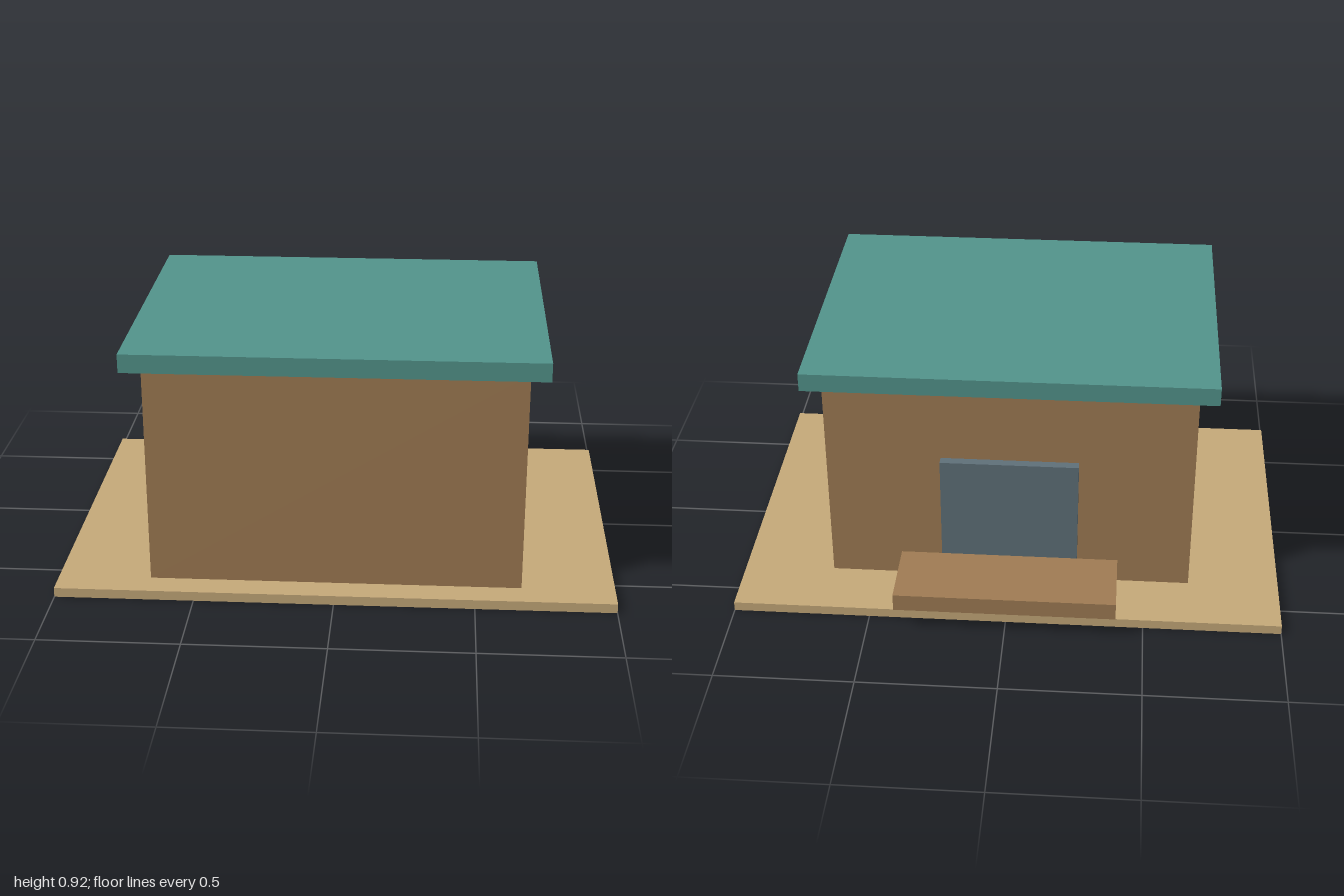
import * as THREE from 'three';

const WOOD = 0xa07c54, SAND = 0xc6aa7a, TEAL = 0x53958c, SLATE = 0x60717a;

// Box centred on x = 0, given its width and its y and z ranges
function slab(name, color, width, [y0, y1], [z0, z1]) {
  const mesh = new THREE.Mesh(
    new THREE.BoxGeometry(width, y1 - y0, z1 - z0),
    new THREE.MeshStandardMaterial({ color })
  );
  mesh.position.set(0, (y0 + y1) / 2, (z0 + z1) / 2);
  mesh.name = name;
  return mesh;
}

export function createModel() {
  const hut = new THREE.Group();
  hut.name = 'hut';
  hut.add(
    slab('groundSlab', SAND, 2, [0, 0.035], [-0.633, 0.7]),
    slab('walls', WOOD, 1.333, [0.035, 0.852], [-0.4, 0.602]),
    // Flat roof overhanging the walls on all sides
    slab('roof', TEAL, 1.465, [0.852, 0.919], [-0.467, 0.667]),
    // Rear doorway panel and the raised step in front of it
    slab('door', SLATE, 0.5, [0.118, 0.552], [-0.433, -0.4]),
    slab('step', WOOD, 0.8, [0.087, 0.152], [-0.7, -0.433])
  );
  return hut;
}
